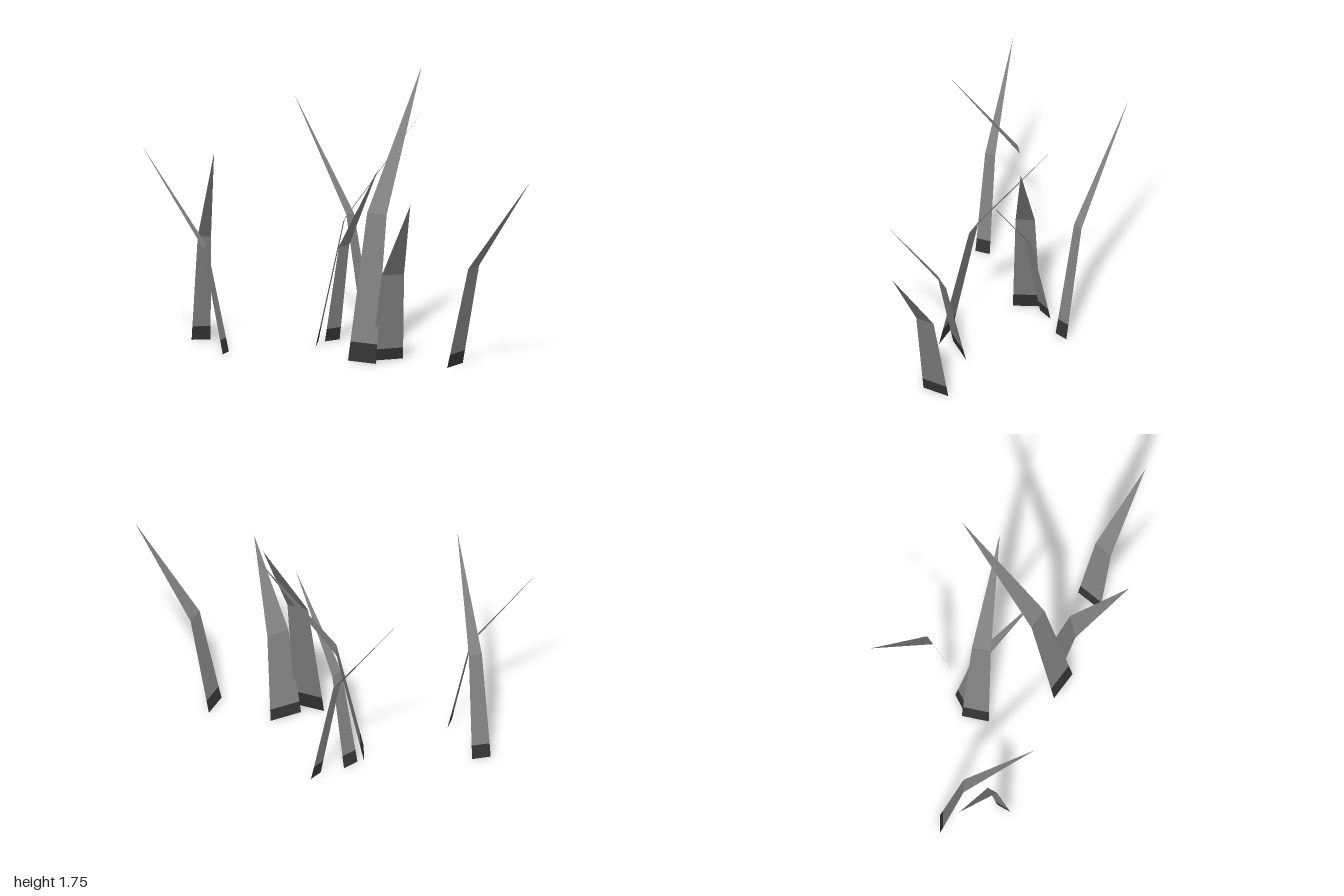
import * as THREE from 'three';

const BEND_Y = 0.522;    // height of the bend, as a share of the blade's height
const BEND_LEAN = 0.25;  // share of the lean reached at the bend
const BEND_WIDTH = 0.7;  // width left at the bend
const BAND = 0.13;       // dark foot, as a share of the lower section

// Flat polygons, each a fan of its corners
function facets(polygons, material, name) {
  const points = [];
  for (const p of polygons) {
    for (let i = 1; i < p.length - 1; i++) points.push(p[0], p[i], p[i + 1]);
  }
  const geometry = new THREE.BufferGeometry().setFromPoints(points);
  geometry.computeVertexNormals();
  const mesh = new THREE.Mesh(geometry, material);
  mesh.name = name;
  return mesh;
}

// One bent, tapering blade from a ground edge (a to b, as x and z) to its tip
function makeBlade([ax, az, bx, bz, tx, ty, tz], materials) {
  const a = new THREE.Vector3(ax, 0, az);
  const b = new THREE.Vector3(bx, 0, bz);
  const tip = new THREE.Vector3(tx, ty, tz);
  const centre = a.clone().add(b).multiplyScalar(0.5);
  const half = b.clone().sub(a).multiplyScalar(0.5 * BEND_WIDTH);

  const bend = centre.clone().lerp(tip, BEND_LEAN);
  bend.y = ty * BEND_Y;
  const bendA = bend.clone().sub(half);
  const bendB = bend.clone().add(half);
  const bandA = a.clone().lerp(bendA, BAND);
  const bandB = b.clone().lerp(bendB, BAND);

  const blade = new THREE.Group();
  blade.name = 'grassBlade';
  blade.add(facets([[a, b, bandB, bandA]], materials.foot, 'bladeFoot'));
  blade.add(facets([[bandA, bandB, bendB, bendA], [bendA, bendB, tip]], materials.leaf, 'bladeLeaf'));
  return blade;
}

export function createModel() {
  const materials = {
    foot: new THREE.MeshStandardMaterial({ color: 0x333333, side: THREE.DoubleSide }),
    leaf: new THREE.MeshStandardMaterial({ color: 0x808080, side: THREE.DoubleSide }),
  };
  materials.foot.name = 'darkGrey';
  materials.leaf.name = 'midGrey';

  // Ground edge (x, z to x, z), then tip (x, y, z)
  const blades = [
    [-0.61, -0.245, -0.545, -0.315, -1.0, 1.28, -0.66],
    [-0.655, -0.706, -0.538, -0.679, -0.715, 1.33, -0.11],
    [0.374, -0.385, 0.46, -0.422, 0.12, 1.47, -0.98],
    [0.007, -0.246, 0.08, -0.403, 0.663, 1.54, -0.03],
    [0.118, -0.385, 0.225, -0.412, 0.3, 1.21, 0.12],
    [0.07, 0.187, 0.203, 0.335, 0.717, 1.75, -0.26],
    [0.205, 0.24, 0.417, 0.24, 0.297, 1.09, 0.72],
    [0.585, 0.597, 0.727, 0.487, 1.0, 1.24, 0.98],
  ];

  const group = new THREE.Group();
  group.name = 'grassTuft';
  for (const data of blades) group.add(makeBlade(data, materials));
  return group;
}
